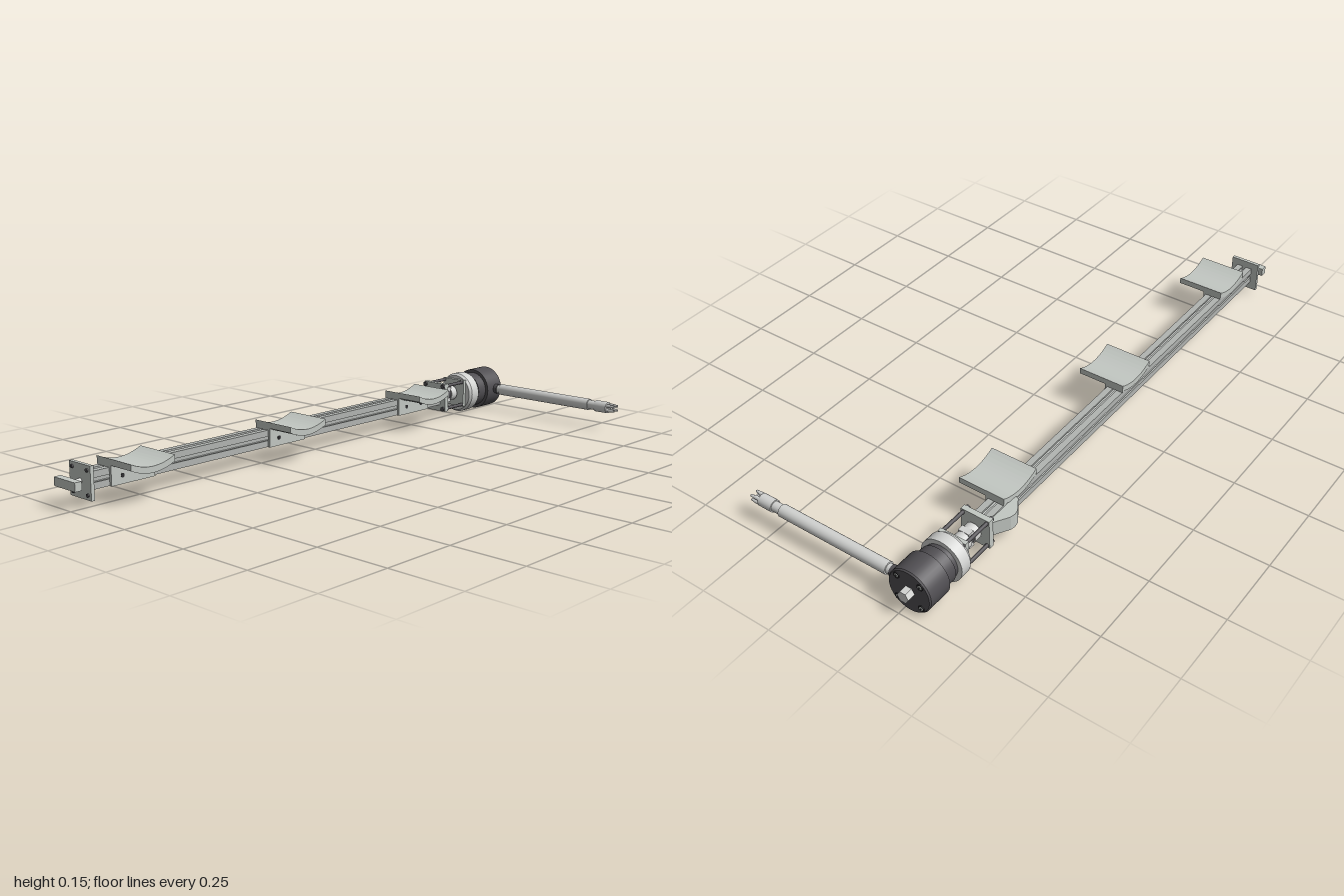
import * as THREE from 'three';

const mat = (name, color, side = THREE.FrontSide) => new THREE.MeshStandardMaterial({ name, color, side });

const AY = 0.075, AZ = -0.27; // main axis, running along x

export function createModel() {
  const root = new THREE.Group();
  root.name = 'railWithMotorArm';
  const aluminium = mat('aluminium', 0xb2b5b2);
  const saddleGrey = mat('saddleGrey', 0xc3c8c3);
  const lightSteel = mat('lightSteel', 0xd2d3d1);
  const charcoal = mat('charcoal', 0x504e52);
  const black = mat('black', 0x2c2b2e);

  const add = (parent, name, geo, m, x = 0, y = 0, z = 0) => {
    const mesh = new THREE.Mesh(geo, m);
    mesh.name = name;
    mesh.position.set(x, y, z);
    parent.add(mesh);
    return mesh;
  };
  const group = (name, x = 0, y = 0, z = 0) => {
    const g = new THREE.Group();
    g.name = name;
    g.position.set(x, y, z);
    root.add(g);
    return g;
  };
  const box = (p, name, m, w, h, d, x, y, z) => add(p, name, new THREE.BoxGeometry(w, h, d), m, x, y, z);
  // Cylinder along x from x0 to x1
  const cylX = (p, name, m, r, x0, x1, y = 0, z = 0, n = 40, r2 = r) =>
    add(p, name, new THREE.CylinderGeometry(r2, r, x1 - x0, n).rotateZ(-Math.PI / 2), m, (x0 + x1) / 2, y, z);
  // Cylinder along z from z0 to z1
  const cylZ = (p, name, m, r, z0, z1, x = 0, y = 0, n = 28, r2 = r) =>
    add(p, name, new THREE.CylinderGeometry(r2, r, z1 - z0, n).rotateX(Math.PI / 2), m, x, y, (z0 + z1) / 2);
  const polygon = pts => new THREE.Shape(pts.map(p => new THREE.Vector2(...p)));
  const corners = [[1, 1], [1, -1], [-1, 1], [-1, -1]];

  // Slotted rail: one side of the profile turned four times
  const H = 0.028;
  const side = [[H, -H], [H, -0.007], [0.022, -0.007], [0.022, -0.015], [0.018, -0.015], [0.012, -0.008],
    [0.012, 0.008], [0.018, 0.015], [0.022, 0.015], [0.022, 0.007], [H, 0.007]];
  const profile = [];
  for (let k = 0; k < 4; k++) {
    const c = Math.round(Math.cos(k * Math.PI / 2)), s = Math.round(Math.sin(k * Math.PI / 2));
    side.forEach(([x, y]) => profile.push([x * c - y * s, x * s + y * c]));
  }
  const railShape = polygon(profile);
  railShape.holes.push(new THREE.Path().absarc(0, 0, 0.005, 0, Math.PI * 2, true));
  add(root, 'rail', new THREE.ExtrudeGeometry(railShape, { depth: 1.6, bevelEnabled: false, curveSegments: 8 })
    .rotateY(Math.PI / 2), aluminium, -0.94, 0.079, -0.273);

  // Left end plate with its crossbar
  const end = group('leftEnd', 0, AY + 0.003, AZ - 0.004);
  box(end, 'endPlate', saddleGrey, 0.012, 0.106, 0.102, -0.939, 0, 0);
  box(end, 'crossbar', saddleGrey, 0.024, 0.028, 0.102, -0.988, 0, 0);
  cylX(end, 'crossbarPost', lightSteel, 0.008, -0.98, -0.94, 0, 0, 16);
  corners.forEach(([a, b]) => cylX(end, 'plateScrew', charcoal, 0.006, -0.949, -0.944, a * 0.038, b * 0.036, 12));

  // Three curved saddles on brackets
  const arc = (y, steps = 12) => Array.from({ length: steps + 1 }, (_, i) => {
    const t = i / steps * 2 - 1;
    return [t * 0.081, y + 0.02 * t * t];
  });
  const saddleShape = polygon([...arc(0.094), ...arc(0.114).reverse()]);
  const bracketShape = polygon([[-0.081, 0.05], [0.081, 0.05], ...arc(0.1).reverse()]);
  const baseShape = polygon([[-0.081, 0.1065], [0.081, 0.1065], ...arc(0.112).reverse()]);
  const extrude = (shape, depth) => new THREE.ExtrudeGeometry(shape, { depth, bevelEnabled: false });
  for (const x of [-0.781, -0.142, 0.498]) {
    const s = group('saddle', x);
    add(s, 'cradle', extrude(saddleShape, 0.163), saddleGrey, 0, 0, -0.303);
    add(s, 'bracket', extrude(bracketShape, 0.01), saddleGrey, 0, 0, -0.246);
    add(s, 'railSeat', extrude(baseShape, 0.056), saddleGrey, 0, 0, -0.302);
    for (const k of [-1, 1]) cylZ(s, 'bracketHole', black, 0.007, -0.237, -0.235, k * 0.04, 0.077, 14);
  }

  // Angled bump on the back of the rail
  add(root, 'rearBump', extrude(polygon([[0.52, 0.3], [0.66, 0.3], [0.645, 0.315], [0.6, 0.342], [0.583, 0.345],
    [0.566, 0.342], [0.525, 0.315]]), 0.05).rotateX(-Math.PI / 2), saddleGrey, 0, 0.052, 0);

  // Open frame between rail and motor
  const mount = group('motorMount', 0, AY + 0.004, AZ - 0.002);
  box(mount, 'railPlate', saddleGrey, 0.018, 0.104, 0.102, 0.668, 0, 0);
  box(mount, 'motorPlate', saddleGrey, 0.014, 0.1, 0.098, 0.777, 0, 0);
  corners.forEach(([a, b]) => {
    cylX(mount, 'standoff', charcoal, 0.006, 0.66, 0.79, a * 0.043, b * 0.042, 12);
    cylX(mount, 'standoffScrew', charcoal, 0.008, 0.652, 0.66, a * 0.043, b * 0.042, 12);
  });
  cylX(mount, 'couplingHub', lightSteel, 0.028, 0.685, 0.712, 0, 0, 24);
  cylX(mount, 'couplingSpider', charcoal, 0.024, 0.712, 0.728, 0, 0, 24);
  cylX(mount, 'couplingHub', lightSteel, 0.028, 0.728, 0.758, 0, 0, 24);
  cylX(mount, 'driveShaft', lightSteel, 0.012, 0.675, 0.78, 0, 0, 16);
  for (const k of [-1, 1]) box(mount, 'couplingJaw', lightSteel, 0.022, 0.014, 0.04, 0.72, k * 0.021, 0);

  // Motor: flange, neck, body, screws and hex shaft
  const motor = group('motor', 0, AY, AZ);
  cylX(motor, 'flange', lightSteel, 0.066, 0.782, 0.792, 0, 0, 40, 0.073);
  cylX(motor, 'flange', lightSteel, 0.073, 0.792, 0.83);
  cylX(motor, 'neck', charcoal, 0.058, 0.83, 0.845);
  cylX(motor, 'neck', charcoal, 0.063, 0.845, 0.886);
  cylX(motor, 'body', charcoal, 0.0745, 0.886, 0.968);
  cylX(motor, 'bodyChamfer', charcoal, 0.0745, 0.968, 0.973, 0, 0, 40, 0.071);
  corners.forEach(([a, b]) => {
    cylX(motor, 'capScrew', black, 0.011, 0.972, 0.975, a * 0.041, b * 0.041, 16);
    cylX(motor, 'capScrewHead', saddleGrey, 0.007, 0.974, 0.977, a * 0.041, b * 0.041, 16);
    cylX(motor, 'capScrewSocket', black, 0.004, 0.976, 0.978, a * 0.041, b * 0.041, 6);
  });
  const hex = new THREE.CylinderGeometry(0.02, 0.02, 0.03, 6).toNonIndexed();
  hex.computeVertexNormals();
  hex.rotateZ(-Math.PI / 2);
  add(motor, 'hexShaft', hex, lightSteel, 0.985, 0, 0);

  // Arm reaching forward, ending in a plug with pins
  const arm = group('arm', 0.938, 0.077, 0);
  cylZ(arm, 'armSocket', charcoal, 0.018, -0.21, -0.182);
  cylZ(arm, 'armNeck', lightSteel, 0.016, -0.186, -0.168);
  cylZ(arm, 'armTube', lightSteel, 0.0205, -0.17, 0.232);
  cylZ(arm, 'plugNeck', lightSteel, 0.0165, 0.232, 0.262);
  cylZ(arm, 'plugBody', lightSteel, 0.0205, 0.262, 0.312);
  corners.forEach(([a, b]) => {
    cylZ(arm, 'pin', lightSteel, 0.0065, 0.312, 0.33, a * 0.01, b * 0.008, 12);
    cylZ(arm, 'pinTip', lightSteel, 0.0055, 0.33, 0.345, a * 0.011, b * 0.008, 12, 0.004);
  });
  return root;
}
